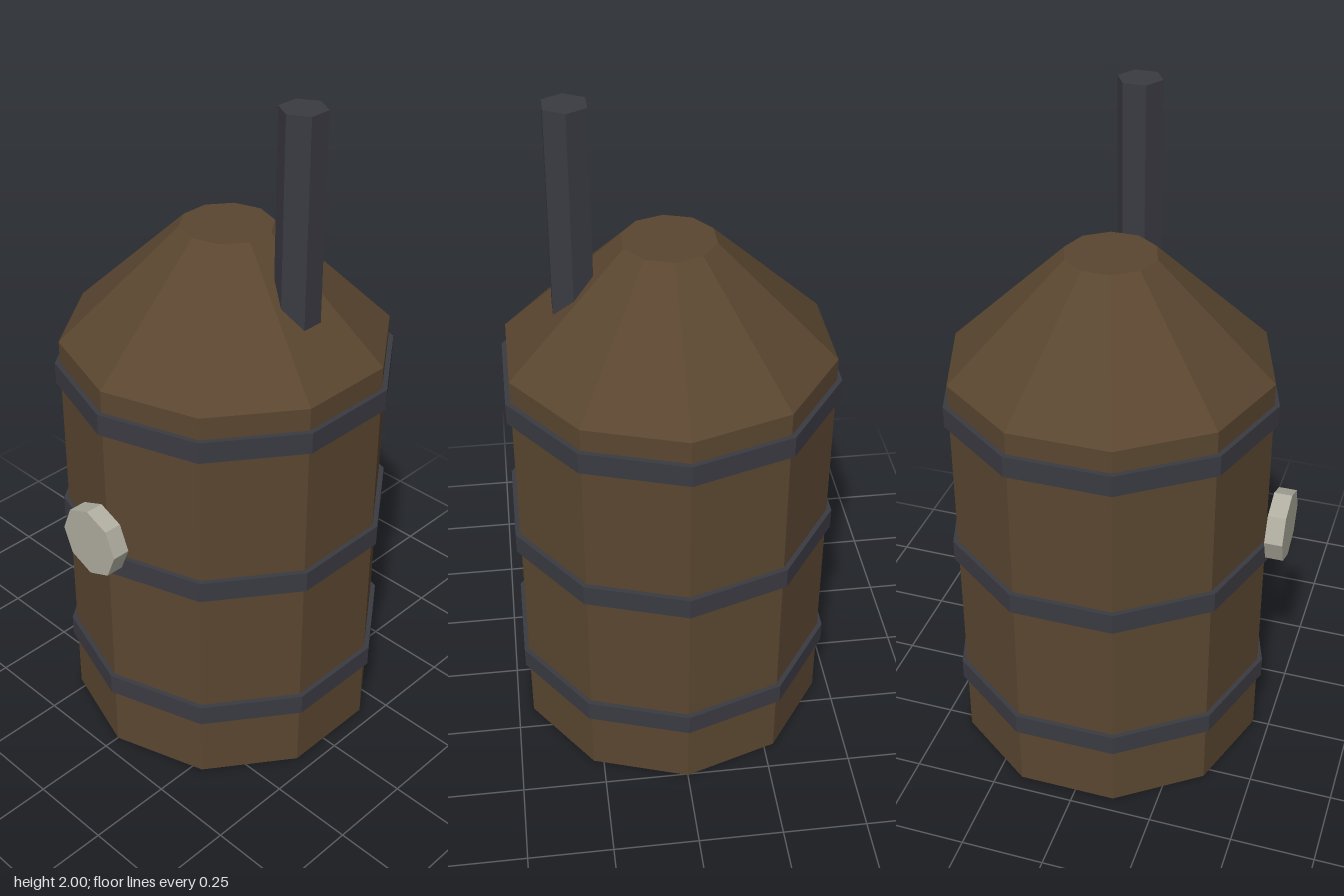
import * as THREE from 'three';

const flat = (name, color) => {
  const material = new THREE.MeshStandardMaterial({ color, flatShading: true });
  material.name = name;
  return material;
};

export function createModel() {
  const wood = flat('brown wood', 0x5a4630);
  const iron = flat('dark iron', 0x3a3a42);
  const dial = flat('pale dial', 0xb0aea0);

  const model = new THREE.Group();
  model.name = 'boilerTank';
  const axisZ = -0.027;

  // Upright faceted cylinder spanning y0 to y1
  const prism = (name, material, rTop, rBottom, y0, y1, sides, x = 0) => {
    const mesh = new THREE.Mesh(new THREE.CylinderGeometry(rTop, rBottom, y1 - y0, sides), material);
    mesh.name = name;
    mesh.position.set(x, (y0 + y1) / 2, axisZ);
    model.add(mesh);
    return mesh;
  };

  // Ten-sided barrel and tapered roof
  prism('barrel', wood, 0.477, 0.477, 0, 1.27, 10);
  prism('roof', wood, 0.133, 0.477, 1.27, 1.6, 10);

  // Hoops around the barrel
  ['lowerHoop', 'middleHoop', 'upperHoop'].forEach((name, i) => {
    const y = 0.236 + i * 0.4675;
    prism(name, iron, 0.492, 0.492, y - 0.032, y + 0.032, 10);
  });

  // Six-sided chimney rising out of the roof slope
  prism('chimney', iron, 0.065, 0.065, 1.38, 2, 6, 0.265);

  // Octagonal gauge on the front
  const gauge = prism('gauge', dial, 0.106, 0.106, 0, 0.053, 8);
  gauge.rotation.x = Math.PI / 2;
  gauge.position.set(0, 0.803, 0.4925);

  return model;
}
